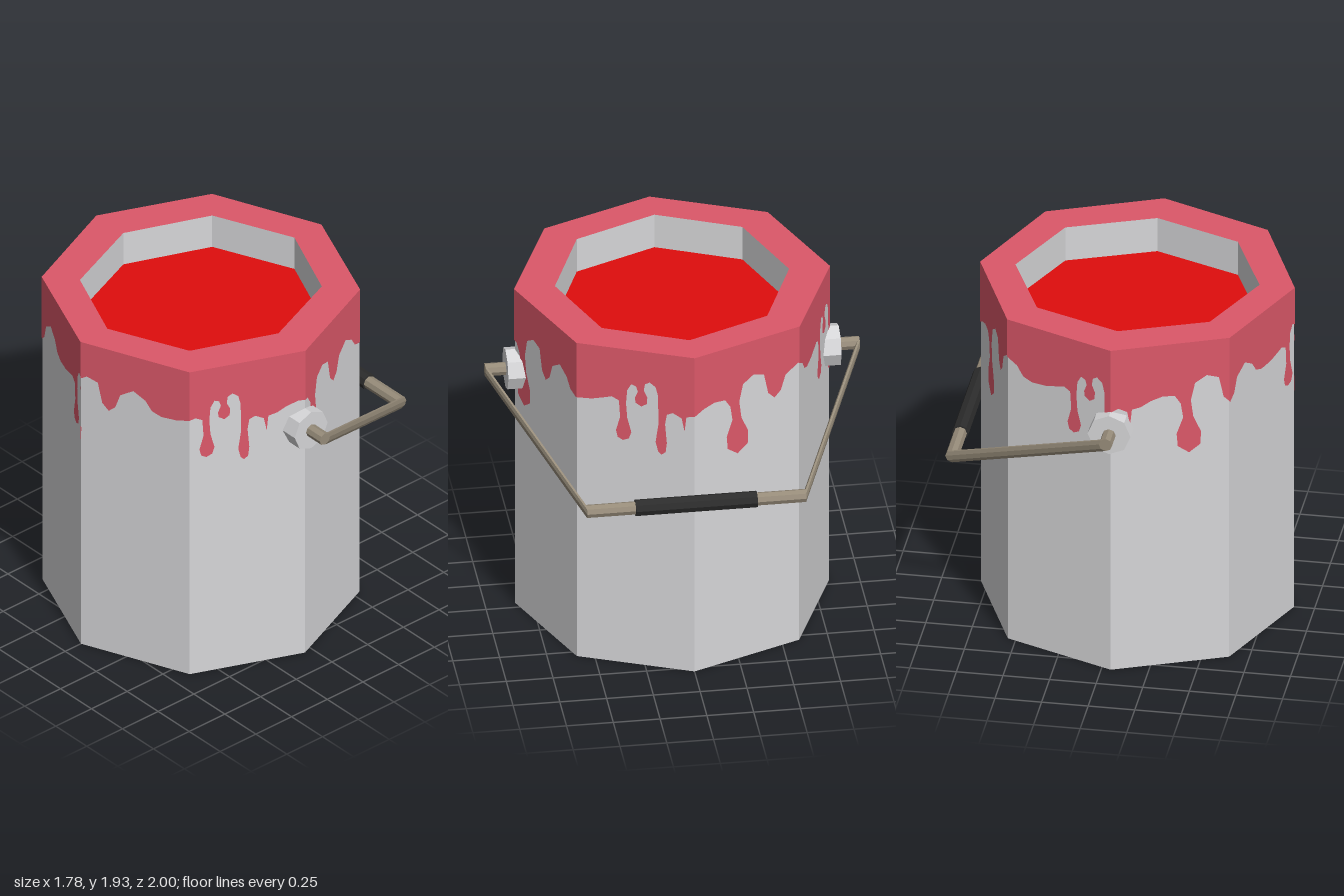
import * as THREE from 'three';

const R = 0.84, R_IN = 0.655, H = 1.93, LEVEL = 1.73, SKIN = 0.004;
const PIVOT_Y = 1.446, GRIP_X = 0.895, GRIP_Y = 1.067;

// Lower edge of the running paint: u in can faces, y in height, repeating every PERIOD faces
const PERIOD = 2.25;
const DRIPS = [
  0, 1.62, 0.05, 1.63, 0.11, 1.61,
  0.12, 1.51, 0.085, 1.425, 0.1, 1.385, 0.145, 1.37, 0.195, 1.385, 0.215, 1.425, 0.18, 1.51,
  0.17, 1.6, 0.18, 1.68, 0.215, 1.72, 0.255, 1.71, 0.27, 1.68,
  0.245, 1.64, 0.25, 1.61, 0.3, 1.59, 0.345, 1.61, 0.35, 1.65, 0.32, 1.69,
  0.33, 1.73, 0.37, 1.745, 0.42, 1.72, 0.44, 1.67,
  0.445, 1.5, 0.42, 1.385, 0.44, 1.33, 0.47, 1.31, 0.505, 1.33, 0.515, 1.385, 0.5, 1.5,
  0.515, 1.56, 0.565, 1.575, 0.64, 1.55, 0.665, 1.47, 0.68, 1.56, 0.755, 1.57,
  0.84, 1.6, 0.94, 1.62, 1.04, 1.615, 1.09, 1.565,
  1.11, 1.48, 1.055, 1.385, 1.065, 1.31, 1.16, 1.265, 1.255, 1.31, 1.26, 1.385, 1.195, 1.48,
  1.175, 1.58, 1.21, 1.68, 1.31, 1.72, 1.41, 1.7, 1.45, 1.58, 1.51, 1.54, 1.57, 1.575,
  1.615, 1.66, 1.735, 1.71, 1.845, 1.67, 1.905, 1.615, 1.99, 1.595, 2.13, 1.6,
];

function material(name, color, side = THREE.FrontSide) {
  const m = new THREE.MeshStandardMaterial({ color, flatShading: true, side });
  m.name = name;
  return m;
}

function flat(geometry) {
  const g = geometry.index ? geometry.toNonIndexed() : geometry;
  g.computeVertexNormals();
  return g;
}

// Eight-sided surface of revolution; the mouth is slightly narrower front to back
function ring(...profile) {
  const g = new THREE.LatheGeometry(profile.map(([r, y]) => new THREE.Vector2(r, y)), 8);
  const p = g.attributes.position;
  for (let i = 0; i < p.count; i++) {
    if (Math.hypot(p.getX(i), p.getZ(i)) < 0.7) p.setZ(i, p.getZ(i) * 0.955);
  }
  return flat(g);
}

// Eight-sided bar whose ends both lie in planes of constant z
function bar(a, b, r) {
  const dz = b[2] - a[2];
  const g = new THREE.CylinderGeometry(r, r, Math.abs(dz), 8).rotateX(Math.PI / 2);
  const p = g.attributes.position;
  for (let i = 0; i < p.count; i++) {
    const t = p.getZ(i) / dz + 0.5;
    p.setXY(i, p.getX(i) + a[0] + (b[0] - a[0]) * t, p.getY(i) + a[1] + (b[1] - a[1]) * t);
    p.setZ(i, a[2] + dz * t);
  }
  return flat(g);
}

// Cut a convex polygon of [u, y] points by a vertical line, keeping one side
function clip(poly, u, sign) {
  const out = [];
  poly.forEach((a, i) => {
    const b = poly[(i + 1) % poly.length];
    const da = (a[0] - u) * sign, db = (b[0] - u) * sign;
    if (da >= 0) out.push(a);
    if (da * db < 0) out.push([u, a[1] + ((b[1] - a[1]) * da) / (da - db)]);
  });
  return out;
}

// Thin coat of paint wrapped over the eight faces, starting and ending at the right corner
function paintCoat() {
  const outline = [];
  for (let k = -1; k <= 3; k++) {
    for (let i = 0; i < DRIPS.length; i += 2) {
      outline.push(new THREE.Vector2(DRIPS[i] + k * PERIOD, DRIPS[i + 1]));
    }
  }
  outline.push(new THREE.Vector2(outline[outline.length - 1].x, H));
  outline.push(new THREE.Vector2(outline[0].x, H));
  const sheet = new THREE.ShapeGeometry(new THREE.Shape(outline)).toNonIndexed().attributes.position;

  const corner = (k) => {
    const a = ((k - 1) * Math.PI) / 4;
    return [(R + SKIN) * Math.sin(a), (R + SKIN) * Math.cos(a)];
  };
  const out = [];
  for (let face = -1; face < 7; face++) {
    const c0 = corner(face), c1 = corner(face + 1);
    const place = ([u, y]) => {
      const t = u - face;
      out.push(c0[0] + (c1[0] - c0[0]) * t, y, c0[1] + (c1[1] - c0[1]) * t);
    };
    for (let i = 0; i < sheet.count; i += 3) {
      const tri = [0, 1, 2].map((j) => [sheet.getX(i + j), sheet.getY(i + j)]);
      const poly = clip(clip(tri, face, 1), face + 1, -1);
      for (let j = 2; j < poly.length; j++) [poly[0], poly[j - 1], poly[j]].forEach(place);
    }
  }
  const g = new THREE.BufferGeometry();
  g.setAttribute('position', new THREE.Float32BufferAttribute(out, 3));
  return flat(g);
}

export function createModel() {
  const metal = material('canMetal', 0xd6d6d8);
  const pink = material('driedPaint', 0xdc5869, THREE.DoubleSide);
  const red = material('wetPaint', 0xdf0d0d);
  const wire = material('handleMetal', 0x978c7a);
  const rubber = material('gripRubber', 0x2c2c2c);

  const model = new THREE.Group();
  model.name = 'paintCan';
  const add = (name, geometry, mat) => {
    const mesh = new THREE.Mesh(geometry, mat);
    mesh.name = name;
    mesh.position.x = -0.05;
    model.add(mesh);
  };

  // Can and its contents
  add('canBody', ring([0, 0], [R, 0], [R, H]), metal);
  add('innerWall', ring([R_IN, H], [R_IN, LEVEL]), metal);
  add('rim', ring([R + SKIN, H], [R_IN, H]), pink);
  add('paintSurface', ring([R_IN, LEVEL], [0, LEVEL]), red);
  add('paintDrips', paintCoat(), pink);

  // Hinges and the bent bail handle, mirrored front to back
  for (const [side, s] of [['front', 1], ['back', -1]]) {
    const pivot = (z) => [0, PIVOT_Y, z * s];
    add(side + 'Hinge', bar(pivot(0.76), pivot(0.89), 0.115), metal);
    add(side + 'HandlePin', bar(pivot(0.85), pivot(1), 0.036), wire);
    add(side + 'HandleArm', bar(pivot(1), [GRIP_X, GRIP_Y, 0.585 * s], 0.036), wire);
  }
  add('handleBar', bar([GRIP_X, GRIP_Y, -0.585], [GRIP_X, GRIP_Y, 0.585], 0.036), wire);
  add('handleGrip', bar([GRIP_X, GRIP_Y, -0.325], [GRIP_X, GRIP_Y, 0.325], 0.045), rubber);
  return model;
}
